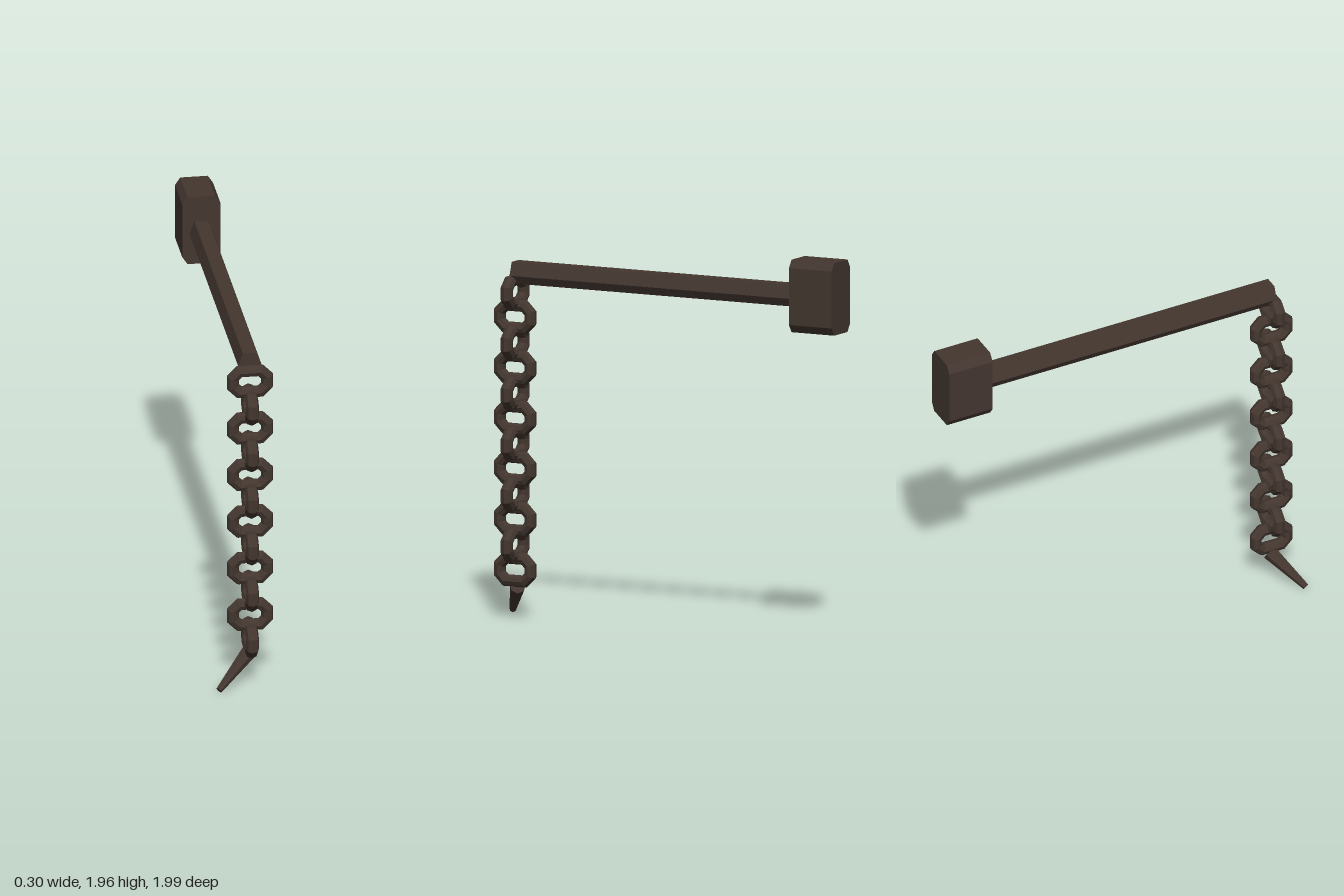
import * as THREE from 'three';

const CX = 0.032; // axis of beam and chain
const CZ = 0.87; // depth of the hanging chain

// Straight prism along z from an outline given in x and y
function prism(points, zBack, zFront) {
  const shape = new THREE.Shape(points.map(([x, y]) => new THREE.Vector2(x, y)));
  const geo = new THREE.ExtrudeGeometry(shape, { depth: zFront - zBack, bevelEnabled: false });
  return geo.translate(0, 0, zBack);
}

// Octagonal ring with its two halves pulled apart sideways
function linkGeometry() {
  const geo = new THREE.TorusGeometry(0.062, 0.033, 8, 8);
  geo.rotateZ(Math.PI / 8);
  const pos = geo.attributes.position;
  for (let i = 0; i < pos.count; i++) {
    pos.setX(i, pos.getX(i) + Math.sign(pos.getX(i)) * 0.03);
  }
  geo.computeVertexNormals();
  return geo;
}

export function createModel() {
  const model = new THREE.Group();
  model.name = 'hangingChainBracket';
  const iron = new THREE.MeshStandardMaterial({ color: 0x43362f, flatShading: true });
  iron.name = 'darkIron';

  const add = (name, geo, parent = model) => {
    const mesh = new THREE.Mesh(geo, iron);
    mesh.name = name;
    parent.add(mesh);
    return mesh;
  };

  // Wall block with chamfered long edges
  const w = 0.097, h = 0.185, cx = 0.027, cy = 0.04;
  const block = add('wallBlock', prism([
    [-w, -h + cy], [-w + cx, -h], [w - cx, -h], [w, -h + cy],
    [w, h - cy], [w - cx, h], [-w + cx, h], [-w, h - cy],
  ], -1, -0.755));
  block.position.set(CX, 1.775, 0);

  // Six-sided beam
  const beam = add('beam', prism([
    [-0.035, 1.715], [0.035, 1.715], [0.06, 1.757],
    [0.036, 1.825], [-0.036, 1.825], [-0.06, 1.757],
  ], -0.77, CZ));
  beam.position.x = CX;

  // Chain: links alternate between facing front and facing sideways
  const chain = new THREE.Group();
  chain.name = 'chain';
  model.add(chain);
  const link = linkGeometry();
  for (let i = 0; i < 12; i++) {
    const mesh = add('chainLink', link, chain);
    mesh.position.set(CX, 1.67 - i * 0.129, CZ);
    if (i % 2) mesh.rotation.y = Math.PI / 2;
  }

  // Tapered spike hanging askew from the last link
  const top = new THREE.Vector3(0.027, 0.165, 0.858);
  const tip = new THREE.Vector3(-0.142, 0.018, 0.978);
  const dir = tip.clone().sub(top);
  const spike = add('spike', new THREE.CylinderGeometry(0.017, 0.04, dir.length(), 7));
  spike.position.copy(top).add(tip).multiplyScalar(0.5);
  spike.quaternion.setFromUnitVectors(new THREE.Vector3(0, 1, 0), dir.normalize());

  return model;
}
